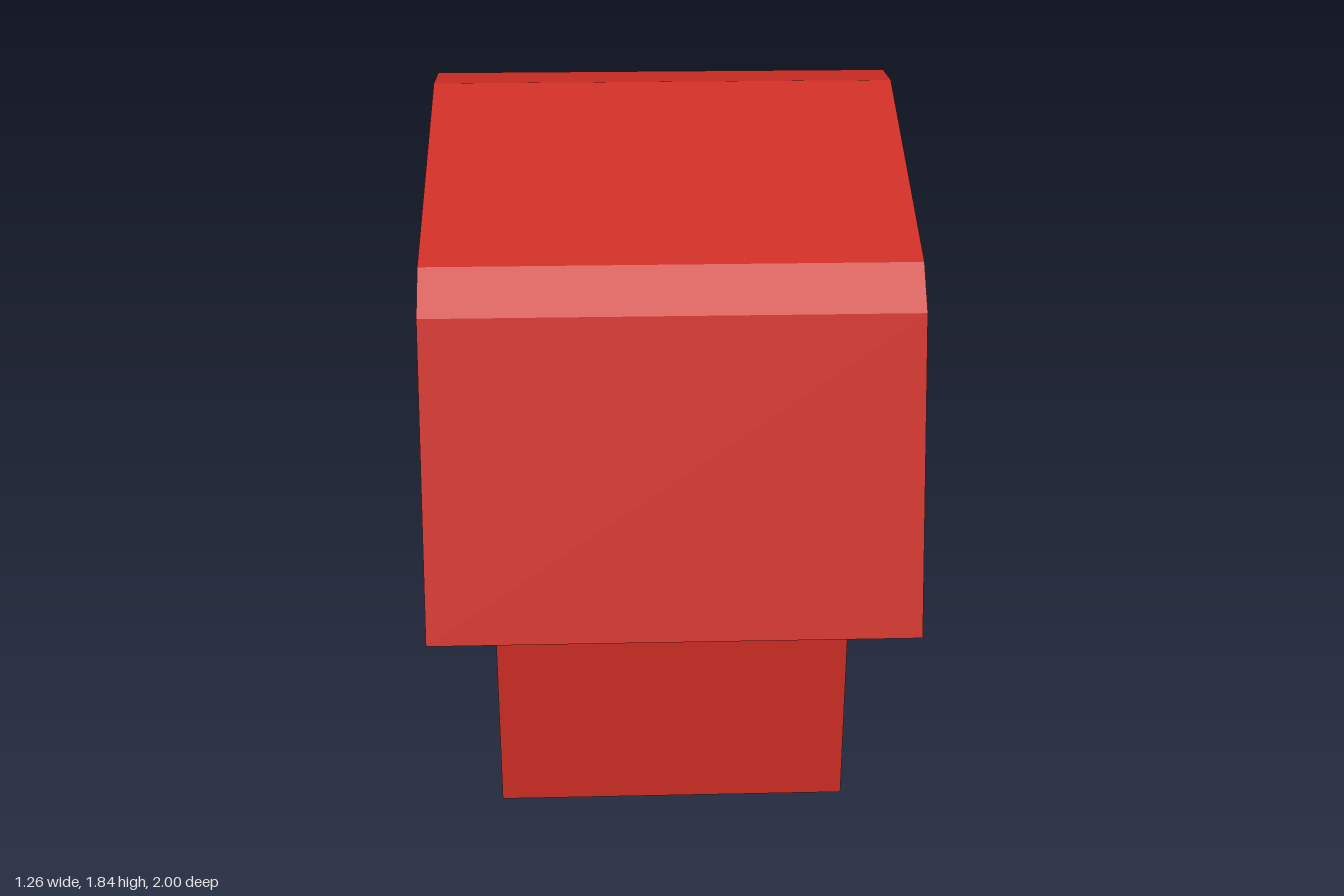
import * as THREE from 'three';

const RED = 0xc92c23, DOOR = 0xc93c23;

function addMesh(parent, name, geometry, color) {
  const material = new THREE.MeshStandardMaterial({ color, flatShading: true });
  const mesh = new THREE.Mesh(geometry, material);
  mesh.name = name;
  parent.add(mesh);
  return mesh;
}

// Extrudes a [z, y] profile along x, centred on x = 0
function extrudeAlongX(profile, width) {
  const shape = new THREE.Shape(profile.map(([z, y]) => new THREE.Vector2(z, y)));
  const geometry = new THREE.ExtrudeGeometry(shape, { depth: width, bevelEnabled: false });
  geometry.translate(0, 0, -width / 2);
  geometry.rotateY(-Math.PI / 2);
  return geometry;
}

export function createModel() {
  const barn = new THREE.Group();
  barn.name = 'barn';

  // Walls with gambrel gables, tucked slightly into the roof
  addMesh(barn, 'walls', extrudeAlongX([
    [0.805, 0], [0.805, 0.76], [0.655, 1.39], [0, 1.7],
    [-0.595, 1.39], [-0.795, 0.76], [-0.795, 0],
  ], 0.938), RED);

  // Overhanging gambrel roof: outer skin, then back along the underside
  addMesh(barn, 'roof', extrudeAlongX([
    [1, 0.61], [0.8, 1.42], [0.715, 1.525], [0.065, 1.835],
    [-0.08, 1.832], [-0.665, 1.52], [-0.745, 1.428], [-1, 0.624],
    [-0.845, 0.577], [-0.59, 1.38], [0, 1.69], [0.65, 1.38], [0.845, 0.572],
  ], 1.264), RED);

  // Pair of barn doors on one gable, the front one a touch proud
  const doors = new THREE.Group();
  doors.name = 'doors';
  barn.add(doors);
  [['frontDoor', 0.315, 0.495], ['backDoor', -0.285, 0.492]].forEach(([name, z, outer]) => {
    const thickness = outer - 0.45;
    const door = addMesh(doors, name, new THREE.BoxGeometry(thickness, 0.6, 0.6), DOOR);
    door.position.set(outer - thickness / 2, 0.302, z);
  });

  return barn;
}
